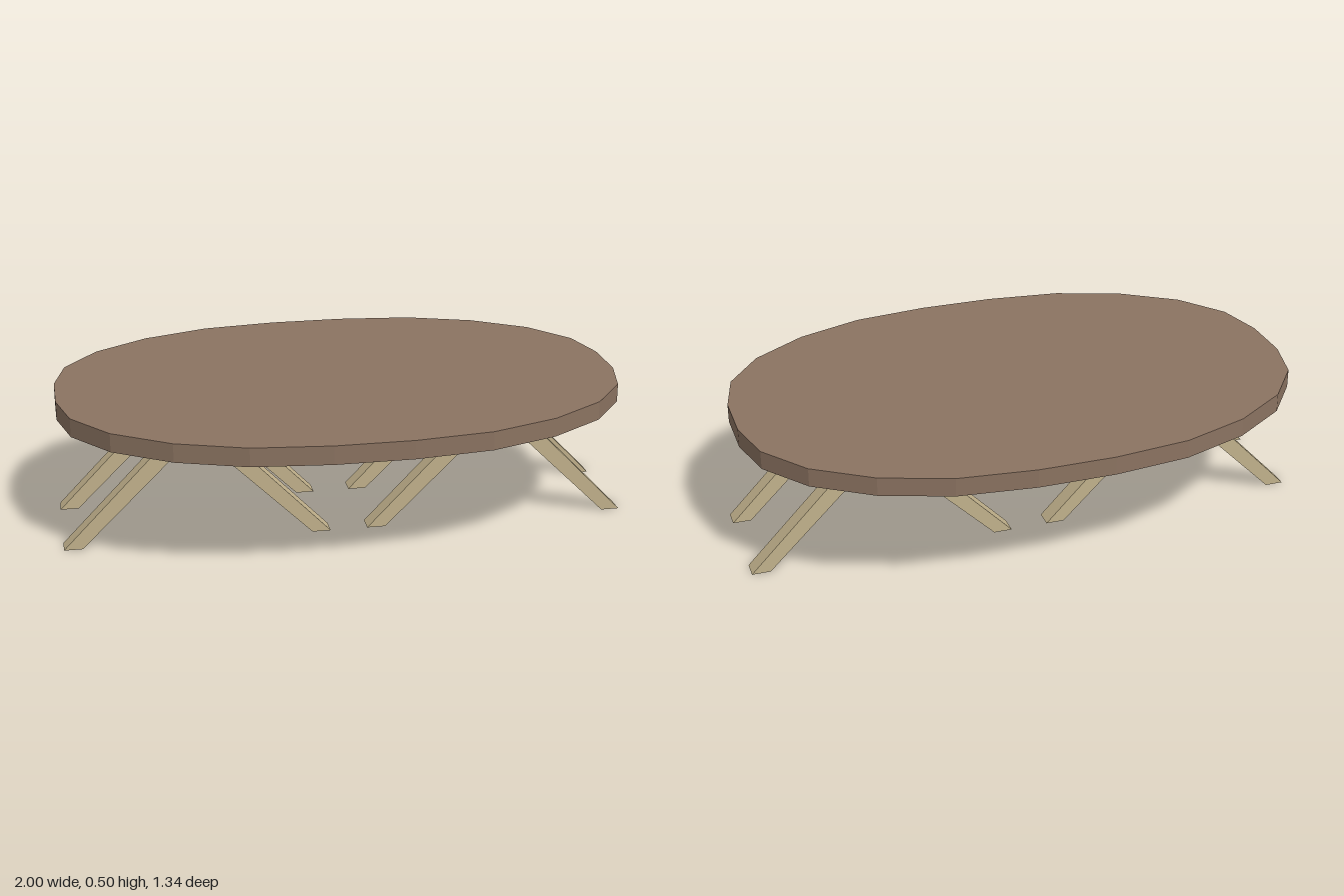
import * as THREE from 'three';

export function createModel() {
  const group = new THREE.Group();
  const brownWood = new THREE.MeshStandardMaterial({ name: 'brownWood', color: 0x8b7361, flatShading: true });
  const paleWood = new THREE.MeshStandardMaterial({ name: 'paleWood', color: 0xc2b28c, flatShading: true });

  // Extrude a closed outline of [x, y] points
  function slab(name, points, depth, material) {
    const shape = new THREE.Shape(points.map(([x, y]) => new THREE.Vector2(x, y)));
    const mesh = new THREE.Mesh(new THREE.ExtrudeGeometry(shape, { depth, bevelEnabled: false }), material);
    mesh.name = name;
    group.add(mesh);
    return mesh;
  }

  // Tabletop: one quarter of the 24-sided oval, mirrored round
  const quarter = [[0.993, 0.095], [0.951, 0.269], [0.829, 0.431], [0.636, 0.559], [0.401, 0.642], [0.133, 0.672]];
  const half = [...quarter, ...quarter.map(([x, z]) => [-x, z]).reverse()];
  const oval = [...half, ...half.map(([x, z]) => [-x, -z])];
  const top = slab('tabletop', oval, 0.065, brownWood);
  top.rotation.x = -Math.PI / 2;
  top.position.set(-0.003, 0.437, -0.003);

  // Legs: four inverted V frames with flat feet and a flat apex
  const side = [[0.043, 0.438], [0.467, 0], [0.402, 0], [0, 0.395]];
  const vee = [...side, ...side.slice(0, 3).reverse().map(([x, y]) => [-x, y])];
  for (const x of [-0.533, 0.533]) {
    for (const z of [-0.179, 0.179]) {
      const leg = slab((x < 0 ? 'right' : 'left') + (z < 0 ? 'Back' : 'Front') + 'LegFrame', vee, 0.064, paleWood);
      leg.position.set(x, 0, z - 0.032);
    }
  }
  return group;
}
